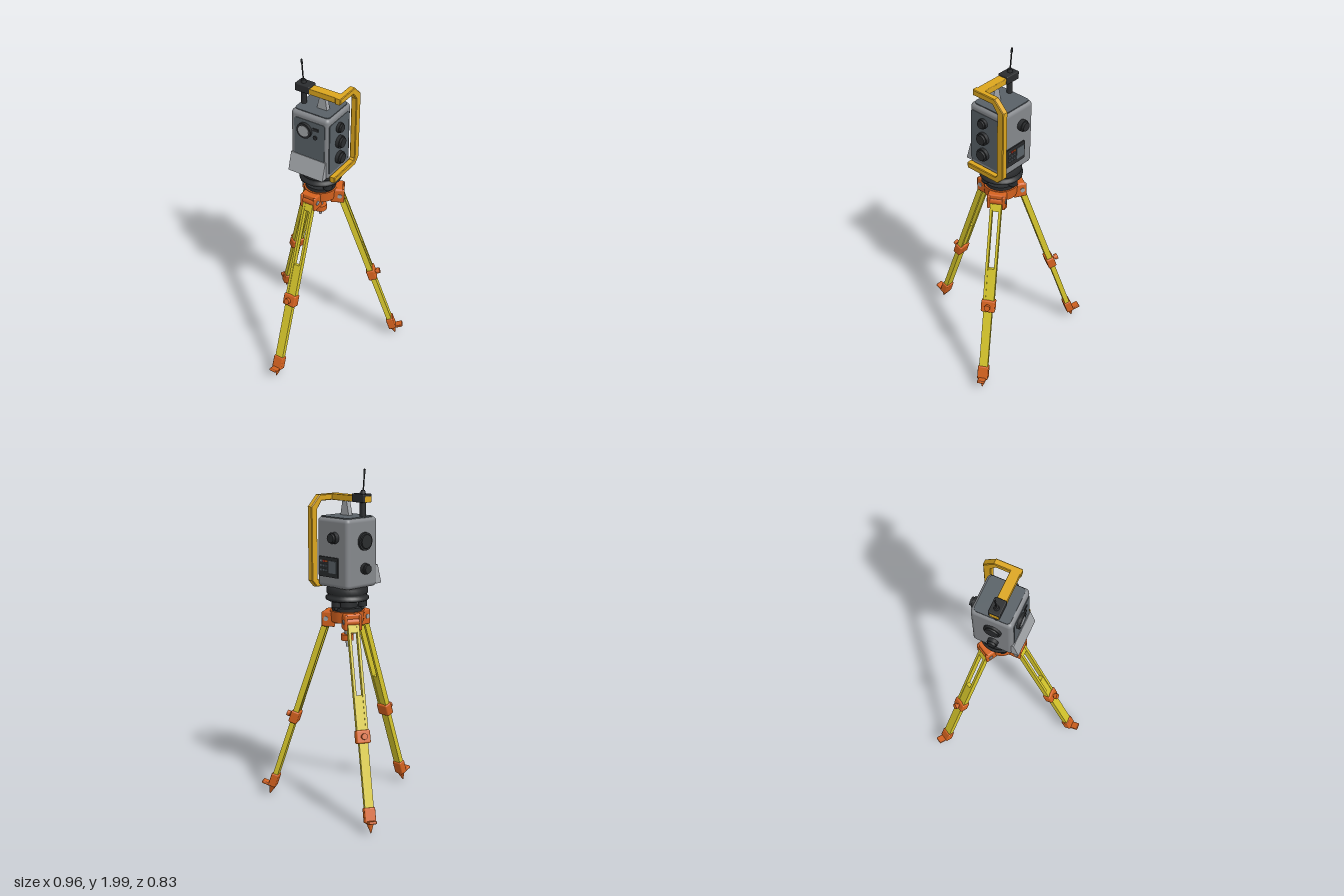
import * as THREE from 'three';
import { RoundedBoxGeometry } from 'three/addons/geometries/RoundedBoxGeometry.js';

const mat = (name, color) => Object.assign(new THREE.MeshStandardMaterial({ color }), { name });
const M = {
  leg: mat('legYellow', 0xd8c82c),
  handle: mat('handleYellow', 0xdca61e),
  orange: mat('orange', 0xd5621f),
  grey: mat('bodyGrey', 0x85888c),
  light: mat('lightGrey', 0xa2a5a9),
  slate: mat('slate', 0x596167),
  black: mat('black', 0x2a2c2e),
  red: mat('buttonRed', 0xb83225),
};
const AXIS_Z = -0.125;

function add(parent, name, geo, material, x = 0, y = 0, z = 0) {
  const m = new THREE.Mesh(geo, material);
  m.name = name;
  m.position.set(x, y, z);
  parent.add(m);
  return m;
}
const box = (w, h, d) => new THREE.BoxGeometry(w, h, d);
const rbox = (w, h, d, r) => new RoundedBoxGeometry(w, h, d, 2, r);
const cyl = (r1, r2, h, n = 24) => new THREE.CylinderGeometry(r1, r2, h, n);
const cylX = (r1, r2, h, n) => cyl(r1, r2, h, n).rotateZ(-Math.PI / 2);
const cylZ = (r1, r2, h, n) => cyl(r1, r2, h, n).rotateX(Math.PI / 2);

// Thin rounded plate facing +z
function plate(w, h, r, t = 0.008) {
  const s = new THREE.Shape(), a = w / 2, b = h / 2;
  s.moveTo(-a + r, -b);
  s.lineTo(a - r, -b).quadraticCurveTo(a, -b, a, -b + r);
  s.lineTo(a, b - r).quadraticCurveTo(a, b, a - r, b);
  s.lineTo(-a + r, b).quadraticCurveTo(-a, b, -a, b - r);
  s.lineTo(-a, -b + r).quadraticCurveTo(-a, -b, -a + r, -b);
  return new THREE.ExtrudeGeometry(s, { depth: t, bevelEnabled: false, curveSegments: 5 });
}

// Profile of [z, y] points, extruded between two x positions
function sideProfile(points, x0, x1, bevel = 0) {
  const s = new THREE.Shape(points.map(p => new THREE.Vector2(...p)));
  return new THREE.ExtrudeGeometry(s, {
    depth: x1 - x0 - 2 * bevel, bevelEnabled: bevel > 0, bevelSize: bevel,
    bevelThickness: bevel, bevelOffset: -bevel, bevelSegments: 1,
  }).rotateY(-Math.PI / 2).translate(x1 - bevel, 0, 0);
}

// One telescopic leg with its hinge, pointing along +z before it is turned
function makeLeg() {
  const g = new THREE.Group();
  for (const s of [-1, 1]) {
    add(g, 'hingeCheek', rbox(0.018, 0.09, 0.08, 0.008), M.orange, s * 0.043, -0.003, 0.102);
    add(g, 'hingeBolt', cylX(0.014, 0.014, 0.006, 16), M.light, s * 0.053, 0, 0.115);
  }
  add(g, 'hingeBridge', rbox(0.1, 0.03, 0.07, 0.008), M.orange, 0, 0.031, 0.098);
  add(g, 'hingeBarrel', cylX(0.025, 0.025, 0.072, 16), M.orange, 0, 0, 0.115);

  const leg = new THREE.Group();
  leg.name = 'leg';
  leg.position.z = 0.115;
  leg.rotation.x = -0.326;
  g.add(leg);
  for (const s of [-1, 1])
    add(leg, 'legRail', box(0.015, 0.64, 0.034), M.leg, s * 0.0255, -0.33, 0);
  add(leg, 'legTopBlock', box(0.04, 0.05, 0.03), M.leg, 0, -0.04, 0);
  add(leg, 'innerLegTongue', box(0.037, 0.24, 0.026), M.leg, 0, -0.54, 0);
  add(leg, 'lowerLeg', box(0.052, 0.46, 0.03), M.leg, 0, -0.87, 0);
  // Clamp and its screw
  add(leg, 'clampCollar', rbox(0.083, 0.075, 0.052, 0.009), M.orange, 0, -0.655, 0);
  add(leg, 'clampStem', cylZ(0.01, 0.01, 0.02, 12), M.orange, 0, -0.655, 0.03);
  add(leg, 'clampKnob', cylZ(0.018, 0.018, 0.02, 10), M.orange, 0, -0.655, 0.044);
  // Foot
  add(leg, 'footSleeve', rbox(0.065, 0.085, 0.046, 0.007), M.orange, 0, -1.095, 0);
  add(leg, 'footPedal', rbox(0.046, 0.017, 0.085, 0.005), M.orange, 0, -1.135, 0.024);
  add(leg, 'footSpike', cyl(0.024, 0.002, 0.062, 12), M.orange, 0, -1.165, 0);
  return g;
}

function makeTripod() {
  const g = new THREE.Group();
  g.name = 'tripod';
  g.position.z = AXIS_Z;
  for (let i = 0; i < 3; i++) {
    const leg = makeLeg();
    leg.name = 'legAssembly';
    leg.position.y = 1.14;
    leg.rotation.y = i * Math.PI * 2 / 3;
    g.add(leg);
  }
  add(g, 'tripodHead', cyl(0.1, 0.095, 0.065, 32), M.orange, 0, 1.157, 0);
  // Centre screw hanging under the head
  add(g, 'centreScrew', cyl(0.016, 0.016, 0.12, 16), M.grey, 0, 1.08, 0);
  add(g, 'centreScrewKnob', cyl(0.038, 0.038, 0.036, 12), M.orange, 0, 1.027, 0);
  add(g, 'centreScrewTip', cyl(0.012, 0.008, 0.04, 12), M.light, 0, 0.99, 0);
  return g;
}

function makeBase() {
  const g = new THREE.Group();
  g.name = 'levellingBase';
  g.position.z = AXIS_Z;
  add(g, 'basePlate', cyl(0.09, 0.09, 0.022, 32), M.black, 0, 1.199, 0);
  for (let i = 0; i < 3; i++) {
    const a = Math.PI + i * Math.PI * 2 / 3;
    const x = 0.09 * Math.sin(a), z = 0.09 * Math.cos(a);
    add(g, 'footScrew', cyl(0.027, 0.027, 0.032, 12), M.black, x, 1.232, z);
    add(g, 'footScrewStem', cyl(0.012, 0.012, 0.06, 12), M.black, x, 1.23, z);
  }
  add(g, 'baseCore', cyl(0.06, 0.06, 0.06), M.black, 0, 1.235, 0);
  const rim = [[0, 1.25], [0.115, 1.25], [0.125, 1.256], [0.125, 1.27], [0.113, 1.275],
    [0.113, 1.288], [0.12, 1.293], [0.12, 1.318], [0.11, 1.34], [0, 1.34]];
  add(g, 'turntable', new THREE.LatheGeometry(rim.map(p => new THREE.Vector2(...p)), 32), M.black);
  return g;
}

// Stepped knob pointing along +z from its mounting face
function knob(parent, name, r, h, x, y, z, ry) {
  const g = new THREE.Group();
  g.name = name;
  add(g, 'knobRing', cylZ(r, r, h * 0.65, 20), M.black, 0, 0, h * 0.325);
  add(g, 'knobCap', cylZ(r * 0.78, r * 0.85, h, 12), M.black, 0, 0, h * 0.5);
  g.position.set(x, y, z);
  g.rotation.y = ry;
  parent.add(g);
}

function makeInstrument() {
  const g = new THREE.Group();
  g.name = 'instrument';
  const H = Math.PI / 2;
  add(g, 'housing', new RoundedBoxGeometry(0.25, 0.4, 0.245, 4, 0.025), M.grey, 0, 1.53, -0.123);

  // Inset panels on the top, the front and the left side
  add(g, 'topPanel', plate(0.225, 0.212, 0.025, 0.006), M.slate, 0.001, 1.728, -0.125).rotation.x = -H;
  add(g, 'frontPanel', plate(0.2, 0.25, 0.015, 0.006), M.slate, 0.003, 1.568, -0.003);
  add(g, 'leftPanel', plate(0.205, 0.325, 0.015, 0.006), M.slate, 0.122, 1.53, -0.116).rotation.y = H;

  // Front lens, buttons and sloping cover
  add(g, 'lensRing', cylZ(0.047, 0.047, 0.022, 28), M.black, -0.025, 1.628, 0.009);
  add(g, 'lensGlass', cylZ(0.034, 0.034, 0.004, 28), M.light, -0.025, 1.628, 0.02);
  add(g, 'frontSensor', box(0.036, 0.018, 0.008), M.black, 0.045, 1.65, 0.004);
  add(g, 'frontButton', cylZ(0.013, 0.013, 0.01, 14), M.black, 0.043, 1.598, 0.004);
  add(g, 'frontCover', sideProfile(
    [[-0.01, 1.452], [0.006, 1.452], [0.036, 1.342], [-0.01, 1.342]], -0.118, 0.112), M.light);

  // Side and rear knobs
  knob(g, 'leftUpperKnob', 0.03, 0.03, 0.125, 1.64, -0.107, H);
  knob(g, 'leftMiddleKnob', 0.038, 0.035, 0.125, 1.545, -0.11, H);
  knob(g, 'leftLowerKnob', 0.038, 0.035, 0.125, 1.44, -0.11, H);
  knob(g, 'rightUpperKnob', 0.052, 0.024, -0.123, 1.598, -0.112, -H);
  knob(g, 'rightLowerKnob', 0.032, 0.036, -0.123, 1.442, -0.112, -H);
  knob(g, 'eyepiece', 0.033, 0.04, -0.025, 1.62, -0.245, Math.PI);

  // Rear keypad with a screen
  add(g, 'keypadPanel', plate(0.155, 0.115, 0.008, 0.009), M.black, 0.025, 1.45, -0.244).rotation.y = Math.PI;
  add(g, 'keypadScreen', box(0.062, 0.07, 0.005), M.slate, -0.012, 1.452, -0.254);
  const keyColours = [M.orange, M.red, M.grey];
  for (let r = 0; r < 3; r++) for (let c = 0; c < 3; c++)
    add(g, 'key', box(0.015, 0.01, 0.006), r ? M.slate : keyColours[c], 0.036 + c * 0.021, 1.483 - r * 0.026, -0.255);
  return g;
}

function makeHandle() {
  const g = new THREE.Group();
  g.name = 'carryHandle';
  add(g, 'handleFrame', sideProfile([
    [-0.06, 1.85], [-0.215, 1.85], [-0.28, 1.785], [-0.28, 1.362], [-0.243, 1.322],
    [-0.015, 1.322], [-0.015, 1.357], [-0.225, 1.357], [-0.235, 1.368],
    [-0.235, 1.768], [-0.2, 1.814], [-0.06, 1.814]], 0.127, 0.163, 0.004), M.handle);
  add(g, 'handleGrip', rbox(0.285, 0.036, 0.056, 0.004), M.handle, 0.005, 1.832, -0.092);
  // Tapered support below the grip
  const support = new THREE.Shape();
  support.moveTo(-0.006, 1.725);
  support.lineTo(0.064, 1.725);
  support.lineTo(0.047, 1.816);
  support.lineTo(0.014, 1.816);
  add(g, 'gripSupport', new THREE.ExtrudeGeometry(support, { depth: 0.03, bevelEnabled: false }), M.light, 0, 0, -0.115);
  // Radio block, post and antenna
  add(g, 'radioPost', cyl(0.017, 0.017, 0.1, 16), M.black, -0.096, 1.775, -0.095);
  add(g, 'radioBlock', rbox(0.096, 0.048, 0.068, 0.006), M.black, -0.088, 1.838, -0.095);
  add(g, 'antennaCollar', cyl(0.012, 0.017, 0.025, 14), M.black, -0.098, 1.868, -0.095);
  const a = new THREE.Vector3(-0.099, 1.87, -0.095), b = new THREE.Vector3(-0.111, 1.996, -0.095);
  add(g, 'antennaRod', new THREE.TubeGeometry(new THREE.LineCurve3(a, b), 1, 0.004, 8), M.black);
  add(g, 'antennaTip', cyl(0.006, 0.006, 0.028, 10), M.black, -0.11, 1.986, -0.095).rotation.z = 0.095;
  return g;
}

export function createModel() {
  const model = new THREE.Group();
  model.name = 'surveyInstrumentOnTripod';
  model.add(makeTripod(), makeBase(), makeInstrument(), makeHandle());
  return model;
}
